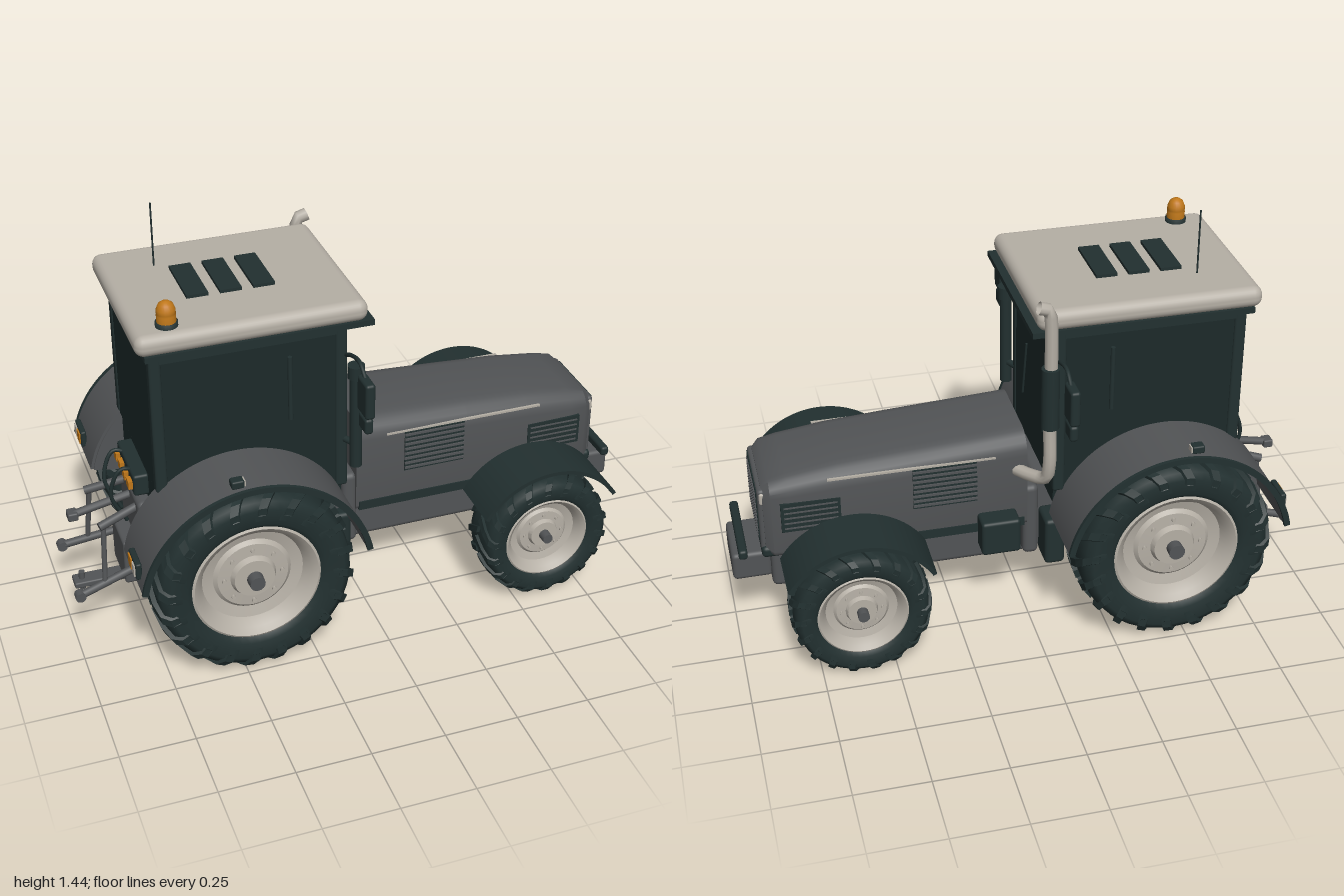
import * as THREE from 'three';
import { mergeGeometries, toCreasedNormals } from 'three/addons/utils/BufferGeometryUtils.js';
import { RoundedBoxGeometry } from 'three/addons/geometries/RoundedBoxGeometry.js';

const V = (x, y, z) => new THREE.Vector3(x, y, z);
const material = (name, color, side = THREE.FrontSide) => {
  const m = new THREE.MeshStandardMaterial({ color, side });
  m.name = name;
  return m;
};

// Skin over a row of equal-length rings, capped at both ends and facing outward
function loft(rings, crease = 0.6) {
  const tris = [];
  const n = rings[0].length;
  for (let i = 0; i + 1 < rings.length; i++) {
    for (let j = 0; j < n; j++) {
      const k = (j + 1) % n, a = rings[i], b = rings[i + 1];
      tris.push([a[j], a[k], b[k]], [a[j], b[k], b[j]]);
    }
  }
  const cap = (r, flip) => {
    const c = r.reduce((s, p) => s.add(p), V(0, 0, 0)).divideScalar(n);
    r.forEach((p, j) => tris.push(flip ? [c, r[(j + 1) % n], p] : [c, p, r[(j + 1) % n]]));
  };
  cap(rings[0], true);
  cap(rings[rings.length - 1], false);
  const volume = tris.reduce((s, [a, b, c]) => s + a.dot(b.clone().cross(c)), 0);
  if (volume < 0) tris.forEach(t => t.reverse());
  const g = new THREE.BufferGeometry().setFromPoints(tris.flat());
  return toCreasedNormals(g, crease);
}

export function createModel() {
  const model = new THREE.Group();
  model.name = 'tractor';
  const dark = material('dark trim', 0x223030, THREE.DoubleSide);
  const glass = material('tinted glass', 0x1c2929);
  const grey = material('body grey', 0x525456);
  const light = material('pale grey', 0xb5afa5, THREE.DoubleSide);
  const amber = material('amber', 0xc0781a);

  const add = (name, geo, mat, parent = model) => {
    const m = new THREE.Mesh(geo, mat);
    m.name = name;
    parent.add(m);
    return m;
  };
  const box = (name, mat, [x0, x1], [y0, y1], [z0, z1], r = 0) => {
    const size = [x1 - x0, y1 - y0, z1 - z0];
    const g = r ? new RoundedBoxGeometry(...size, 3, r) : new THREE.BoxGeometry(...size);
    return add(name, g.translate((x0 + x1) / 2, (y0 + y1) / 2, (z0 + z1) / 2), mat);
  };
  const span = (s, a, b) => (s > 0 ? [a, b] : [-b, -a]);
  const tube = (name, mat, r, pts, smooth = true) => {
    const path = new THREE.CatmullRomCurve3(pts.map(p => V(...p)), false, 'centripetal');
    return add(name, new THREE.TubeGeometry(path, smooth ? 28 : 1, r, 10), mat);
  };
  const rod = (name, mat, r, a, b) => {
    const d = V(...b).sub(V(...a));
    const m = add(name, new THREE.CylinderGeometry(r, r, d.length(), 12), mat);
    m.quaternion.setFromUnitVectors(V(0, 1, 0), d.clone().normalize());
    m.position.set(...a).addScaledVector(d, 0.5);
    return m;
  };
  const slab = (name, mat, shape, [z0, z1]) => add(name, toCreasedNormals(new THREE.ExtrudeGeometry(shape,
    { depth: z1 - z0, bevelEnabled: false, curveSegments: 28 }).translate(0, 0, z0), 0.5), mat);
  const arch = (name, mat, x, y, r, t, a0, a1, z) => {
    const s = new THREE.Shape();
    s.absarc(x, y, r, a0, a1, false);
    s.absarc(x, y, r - t, a1, a0, true);
    s.closePath();
    return slab(name, mat, s, z);
  };

  // Wheel: lathed tyre, chevron lugs, dished rim and hub
  function wheel(name, x, z, R, w, rim, lugs, s) {
    const g = new THREE.Group();
    g.name = name;
    g.position.set(x, R, s * z);
    const lathe = pts => new THREE.LatheGeometry(pts.map(p => new THREE.Vector2(...p)), 48).rotateX(Math.PI / 2);
    const half = [[rim, 0.78], [rim * 1.1, 0.93], [R * 0.85, 0.96], [R * 0.92, 0.85], [R * 0.95, 0.5]];
    // rotateX sends the lathe axis to +z
    const prof = [...half.map(([r, k]) => [r, -k * w]), ...half.slice().reverse().map(([r, k]) => [r, k * w])];
    add('tyre', lathe(prof), dark, g);
    const parts = [];
    const th = 0.3 * Math.PI / lugs;
    for (const side of [1, -1]) {
      const rings = [[-0.04, 0, 1, 0.9], [0.5, 0.11, 0.995, 0.9], [0.86, 0.2, 0.96, 0.85], [1, 0.25, 0.88, 0.8], [0.98, 0.29, 0.78, 0.74]]
        .map(([k, a, ro, ri]) => [[ro, -th], [ro, th], [ri, th], [ri, -th]]
          .map(([r, d]) => V(Math.cos(a + d) * r * R, Math.sin(a + d) * r * R, side * k * w)));
      const lug = loft(rings, 0.3);
      for (let i = 0; i < lugs; i++) {
        parts.push(lug.clone().rotateZ((i + (side > 0 ? 0 : 0.5)) * 2 * Math.PI / lugs));
      }
    }
    add('treadLugs', mergeGeometries(parts), dark, g);
    const q = s * w;
    add('rim', toCreasedNormals(lathe([[rim * 1.02, -0.8 * q], [rim * 0.9, -0.72 * q], [rim * 0.86, 0.3 * q], [rim * 0.9, 0.68 * q],
      [rim * 1.02, 0.8 * q], [rim * 0.98, 0.84 * q], [rim * 0.88, 0.7 * q], [rim * 0.8, 0.4 * q], [rim * 0.62, 0.32 * q],
      [rim * 0.56, 0.42 * q], [rim * 0.36, 0.44 * q], [rim * 0.32, 0.6 * q], [0, 0.6 * q]]), 0.5), light, g);
    add('hub', new THREE.CylinderGeometry(rim * 0.12, rim * 0.13, 0.05, 16).rotateX(Math.PI / 2).translate(0, 0, 0.68 * q), grey, g);
    for (let i = 0; i < 8; i++) {
      const a = i * Math.PI / 4;
      add('wheelBolt', new THREE.CylinderGeometry(rim * 0.035, rim * 0.035, 0.014, 6).rotateX(Math.PI / 2)
        .translate(Math.cos(a) * rim * 0.46, Math.sin(a) * rim * 0.46, 0.45 * q), light, g);
    }
    model.add(g);
  }

  // Bonnet: rounded sections along x
  const section = ([x, hw, y0, y1, r]) => {
    const pts = [];
    for (const [cz, cy, a0, rr] of [[1, 1, 0, r], [-1, 1, 1, r], [-1, 0, 2, 0.02], [1, 0, 3, 0.02]]) {
      for (let i = 0; i <= 5; i++) {
        const a = (a0 + i / 5) * Math.PI / 2;
        pts.push(V(x, (cy ? y1 - rr : y0 + rr) + rr * Math.sin(a), cz * (hw - rr) + rr * Math.cos(a)));
      }
    }
    return pts;
  };
  add('bonnet', loft([[-0.01, 0.19, 0.335, 0.692, 0.075], [0.4, 0.19, 0.335, 0.67, 0.075], [0.63, 0.187, 0.335, 0.655, 0.07],
    [0.8, 0.182, 0.335, 0.632, 0.06], [0.86, 0.175, 0.335, 0.618, 0.05], [0.885, 0.155, 0.345, 0.595, 0.04]].map(section)), grey);

  // Front grille with slats and headlights
  box('grilleFrame', grey, [0.87, 0.9], [0.345, 0.59], [-0.15, 0.15], 0.012);
  box('grille', dark, [0.88, 0.903], [0.385, 0.582], [-0.13, 0.13]);
  for (let i = 0; i < 9; i++) box('grilleSlat', grey, [0.9, 0.907], [0.397 + i * 0.02, 0.404 + i * 0.02], [-0.12, 0.12]);
  box('noseSkirt', dark, [0.8, 0.9], [0.328, 0.37], [-0.165, 0.165], 0.015);

  for (const s of [1, -1]) {
    box('headlight', light, [0.87, 0.895], [0.535, 0.58], span(s, 0.132, 0.155), 0.008);
    // Bonnet side louvres, trim line and lower skirt
    box('sideLouvrePanel', dark, [0.165, 0.385], [0.465, 0.62], span(s, 0.185, 0.193));
    for (let i = 0; i < 8; i++) box('louvreSlat', grey, [0.165, 0.385], [0.473 + i * 0.019, 0.481 + i * 0.019], span(s, 0.19, 0.198));
    box('frontLouvrePanel', dark, [0.63, 0.83], [0.44, 0.55], span(s, 0.178, 0.189));
    for (let i = 0; i < 5; i++) box('frontLouvreSlat', grey, [0.64, 0.82], [0.452 + i * 0.02, 0.457 + i * 0.02], span(s, 0.186, 0.192));
    box('trimLine', light, [0.1, 0.67], [0.62, 0.627], span(s, 0.182, 0.191));
    box('bonnetSkirt', dark, [0, 0.6], [0.337, 0.37], span(s, 0.18, 0.194));
  }

  // Chassis, gearbox, axles and front weight
  box('chassis', grey, [-0.055, 0.87], [0.187, 0.345], [-0.14, 0.14], 0.02);
  box('firewall', grey, [-0.055, 0.0], [0.2, 0.48], [-0.18, 0.18], 0.02);
  box('gearbox', grey, [-0.76, -0.04], [0.2, 0.5], [-0.14, 0.14], 0.02);
  rod('rearAxle', grey, 0.065, [-0.455, 0.345, -0.38], [-0.455, 0.345, 0.38]);
  box('frontAxle', grey, [0.56, 0.64], [0.2, 0.275], [-0.27, 0.27], 0.01);
  rod('frontHubShaft', grey, 0.035, [0.607, 0.237, -0.36], [0.607, 0.237, 0.36]);
  box('weightBracket', grey, [0.84, 0.92], [0.22, 0.3], [-0.08, 0.08]);
  box('frontWeight', grey, [0.865, 1.0], [0.215, 0.318], [-0.11, 0.11], 0.015);
  rod('towPinStem', dark, 0.012, [0.962, 0.3, 0], [0.962, 0.36, 0]);
  box('frontBar', dark, [0.948, 0.978], [0.33, 0.365], [-0.16, 0.16], 0.01);
  box('batteryBox', dark, [0.03, 0.165], [0.28, 0.41], [-0.265, -0.18], 0.012);

  // Cab: glazed body cut around the rear wheels, with dark frames
  const R = 0.385, cx = -0.455, cy = 0.345;
  const cabShape = new THREE.Shape();
  cabShape.moveTo(-0.72, 0.624).lineTo(-0.72, 1.135).lineTo(-0.08, 1.135).lineTo(-0.08, 0.52).lineTo(-0.112, 0.52);
  cabShape.absarc(cx, cy, R, Math.atan2(0.175, 0.343), Math.atan2(0.279, -0.265), false);
  slab('cabGlass', glass, cabShape, [-0.275, 0.275]);
  box('cabBase', glass, [-0.715, -0.085], [0.45, 0.8], [-0.245, 0.245]);
  for (const s of [1, -1]) {
    for (const [a, b, y] of [[-0.725, -0.685, 0.63], [-0.115, -0.075, 0.52]]) {
      box('cabPillar', dark, [a, b], [y, 1.14], span(s, 0.245, 0.282), 0.008);
    }
    box('doorTopRail', dark, [-0.7, -0.1], [1.1, 1.14], span(s, 0.27, 0.281));
    rod('doorHandle', dark, 0.008, [-0.27, 0.82, s * 0.284], [-0.27, 1.05, s * 0.284]);
    rod('wiper', dark, 0.004, [-0.072, 0.9, s > 0 ? 0.07 : -0.2], [-0.072, 0.68, s > 0 ? 0.12 : -0.15]);
  }
  for (const x of [-0.725, -0.085]) box('cabCrossRail', dark, [x, x + 0.01], [1.09, 1.14], [-0.27, 0.27]);

  // Roof with hatches, beacon and aerial
  box('roofVisor', dark, [-0.74, 0.006], [1.128, 1.148], [-0.31, 0.31]);
  box('roof', light, [-0.767, -0.012], [1.145, 1.217], [-0.317, 0.317], 0.032);
  for (const x of [-0.55, -0.44, -0.33]) box('roofHatch', dark, [x, x + 0.072], [1.21, 1.228], [-0.115, 0.105]);
  const beacon = (n, mat, pts) => add(n, new THREE.LatheGeometry(pts.map(p => new THREE.Vector2(...p)), 20).translate(-0.652, 0, 0.25), mat);
  beacon('beaconBase', dark, [[0.036, 1.21], [0.036, 1.232], [0, 1.232]]);
  beacon('beacon', amber, [[0.031, 1.23], [0.031, 1.255], [0.028, 1.258], [0.031, 1.262], [0.03, 1.275], [0.023, 1.292], [0.012, 1.3], [0, 1.302]]);
  rod('aerial', dark, 0.003, [-0.59, 1.21, -0.155], [-0.59, 1.44, -0.155]);

  // Exhaust stack and air intake
  tube('exhaustPipe', light, 0.022, [[0.03, 0.56, -0.17], [-0.01, 0.57, -0.24], [-0.045, 0.59, -0.295], [-0.052, 0.65, -0.315],
    [-0.052, 0.8, -0.315], [-0.052, 1.19, -0.315], [-0.045, 1.228, -0.315], [-0.012, 1.24, -0.315]]);
  rod('exhaustShield', dark, 0.031, [-0.052, 0.8, -0.318], [-0.052, 1.02, -0.318]);
  rod('airIntake', dark, 0.021, [-0.06, 0.62, 0.32], [-0.06, 0.97, 0.32]);
  rod('airIntakeCap', dark, 0.029, [-0.06, 0.955, 0.32], [-0.06, 1.0, 0.32]);
  rod('airIntakeBracket', dark, 0.012, [-0.09, 0.7, 0.26], [-0.06, 0.7, 0.32]);

  for (const s of [1, -1]) {
    // Mirrors
    tube('mirrorArm', dark, 0.007, [[-0.08, 1.015, s * 0.27], [-0.08, 1.048, s * 0.34], [-0.08, 1.06, s * 0.41], [-0.08, 1.03, s * 0.46]]);
    box('mirror', dark, [-0.098, -0.065], [0.91, 1.035], span(s, 0.43, 0.515), 0.01);
    box('lowerMirror', dark, [-0.096, -0.067], [0.85, 0.905], span(s, 0.438, 0.505), 0.01);
    // Wheels and mudguards
    wheel('rearWheel', cx, 0.38, 0.345, 0.12, 0.215, 20, s);
    wheel('frontWheel', 0.607, 0.355, 0.237, 0.093, 0.15, 18, s);
    arch('rearFender', grey, cx, cy, 0.39, 0.014, 0.18, Math.PI - 0.18, span(s, 0.25, 0.515));
    arch('rearFenderLip', dark, cx, cy, 0.393, 0.02, 0.18, Math.PI - 0.18, span(s, 0.505, 0.518));
    arch('fenderInnerWall', grey, cx, cy, 0.38, 0.2, 0.18, Math.PI - 0.18, span(s, 0.245, 0.255));
    arch('frontFender', dark, 0.607, 0.237, 0.285, 0.014, 0.55, Math.PI - 0.53, span(s, 0.255, 0.455));
    rod('frontFenderStay', dark, 0.014, [0.607, 0.25, s * 0.25], [0.607, 0.515, s * 0.265]);
    // Fender lamps
    box('fenderLampHousing', dark, [-0.53, -0.488], [0.73, 0.758], span(s, 0.452, 0.488), 0.006);
    box('fenderLamp', light, [-0.489, -0.484], [0.735, 0.754], span(s, 0.456, 0.484));
    box('tailLampHousing', dark, [-0.845, -0.825], [0.44, 0.5], span(s, 0.36, 0.46), 0.006);
    box('tailLamp', amber, [-0.85, -0.843], [0.45, 0.49], span(s, 0.37, 0.41));
    box('reverseLamp', light, [-0.85, -0.843], [0.45, 0.49], span(s, 0.42, 0.45));
    // Steps and rear linkage
    box('step', dark, [-0.125, -0.055], [0.21, 0.39], span(s, 0.16, 0.27), 0.015);
    rod('lowerLink', grey, 0.014, [-0.72, 0.25, s * 0.11], [-0.98, 0.19, s * 0.152]);
    rod('linkEye', grey, 0.018, [-0.98, 0.19, s * 0.137], [-0.98, 0.19, s * 0.168]);
    rod('liftRod', grey, 0.009, [-0.89, 0.21, s * 0.138], [-0.875, 0.43, s * 0.11]);
    rod('liftArm', grey, 0.015, [-0.72, 0.47, s * 0.08], [-0.89, 0.425, s * 0.115]);
    tube('hydraulicHose', dark, 0.007, [[-0.71, 0.56, s * 0.05], [-0.79, 0.6, s * 0.06], [-0.83, 0.5, s * 0.05], [-0.78, 0.38, s * 0.04]]);
  }
  rod('topLink', grey, 0.014, [-0.74, 0.46, 0], [-0.96, 0.415, 0]);
  box('topLinkEye', grey, [-0.975, -0.94], [0.4, 0.43], [-0.022, 0.022], 0.006);
  box('drawbarBracket', grey, [-0.81, -0.74], [0.15, 0.32], [-0.09, 0.09], 0.01);
  box('drawbar', grey, [-0.975, -0.74], [0.125, 0.148], [-0.03, 0.03], 0.006);
  rod('drawbarPin', grey, 0.011, [-0.945, 0.105, 0], [-0.945, 0.175, 0]);
  // Hydraulic couplings
  box('couplingBlock', dark, [-0.765, -0.71], [0.52, 0.6], [-0.12, 0.12], 0.01);
  for (const z of [-0.09, -0.03, 0.03, 0.09]) box('coupling', amber, [-0.78, -0.755], [0.545, 0.575], [z - 0.018, z + 0.018]);
  return model;
}
